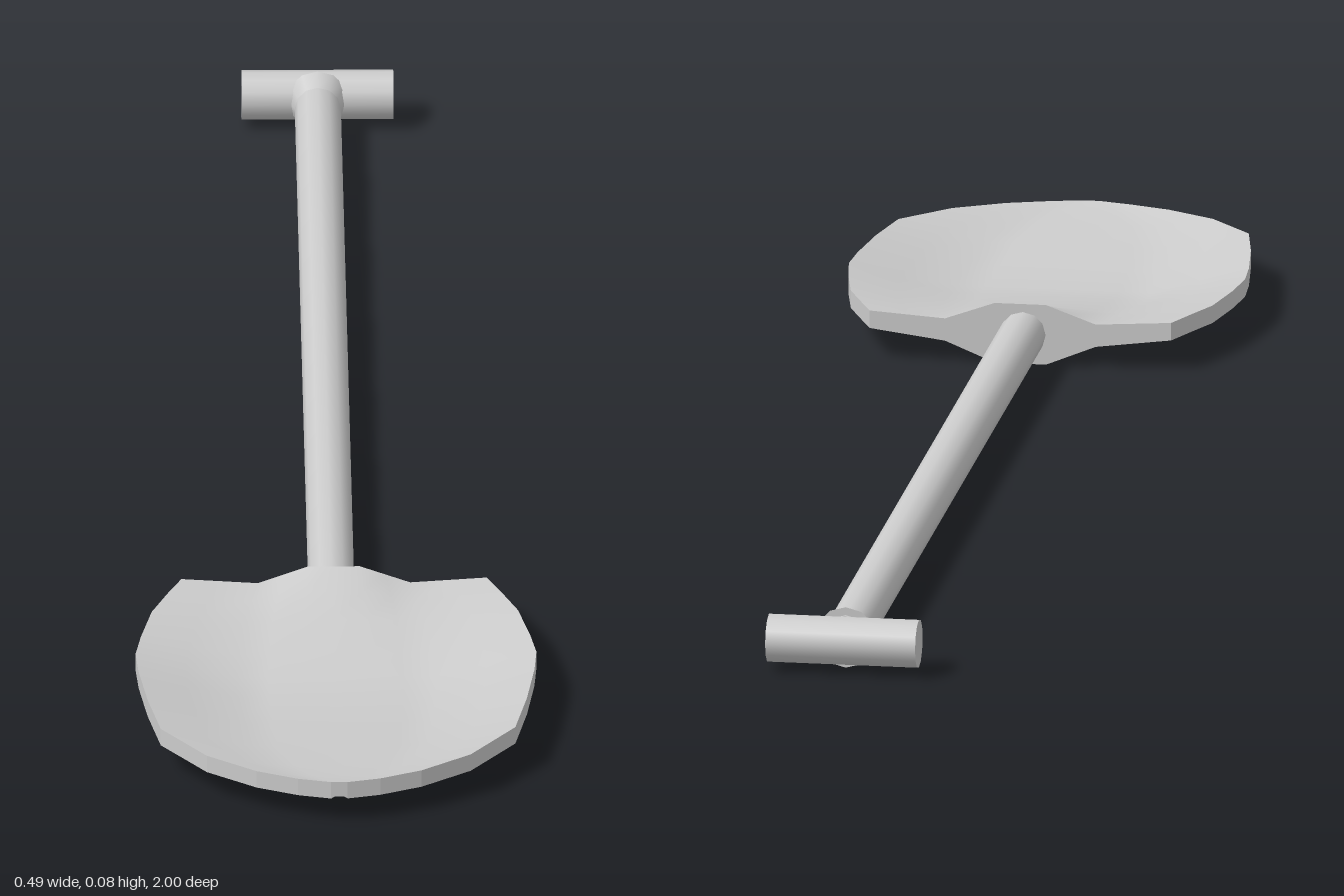
import * as THREE from 'three';

const metal = new THREE.MeshStandardMaterial({ color: 0xcccccc });
const AXIS_X = -0.003, AXIS_Y = 0.04;

// Blade cross-sections: z, half width, rim top, shoulder top, centre top, shoulder thickness, centre thickness
const SECTIONS = [
  [0.44, 0.185, 0.062, 0.056, 0.078, 0.028, 0.075],
  [0.48, 0.202, 0.062, 0.051, 0.064, 0.026, 0.048],
  [0.53, 0.222, 0.061, 0.046, 0.050, 0.024, 0.025],
  [0.60, 0.236, 0.061, 0.036, 0.038, 0.022, 0.022],
  [0.65, 0.243, 0.062, 0.030, 0.031, 0.022, 0.022],
  [0.70, 0.240, 0.062, 0.026, 0.026, 0.022, 0.022],
  [0.78, 0.230, 0.062, 0.030, 0.030, 0.022, 0.022],
  [0.86, 0.215, 0.061, 0.038, 0.037, 0.021, 0.021],
  [0.93, 0.160, 0.058, 0.045, 0.044, 0.020, 0.020],
  [0.97, 0.100, 0.056, 0.050, 0.049, 0.019, 0.019],
  [0.99, 0.050, 0.055, 0.053, 0.053, 0.019, 0.019],
  [1.00, 0.010, 0.055, 0.055, 0.055, 0.019, 0.019],
];
const COLUMNS = [-1, -0.75, -0.5, -0.34, -0.17, 0, 0.17, 0.34, 0.5, 0.75, 1];

// Blend across the half width: centre plateau, shoulder, rim
function across(u, centre, shoulder, rim) {
  const a = Math.abs(u);
  if (a <= 0.17) return centre;
  if (a <= 0.5) return THREE.MathUtils.lerp(centre, shoulder, (a - 0.17) / 0.33);
  return THREE.MathUtils.lerp(shoulder, rim, (a - 0.5) / 0.5);
}

function bladePoint(i, j, under) {
  const [z, w, rim, shoulder, centre, shoulderT, centreT] = SECTIONS[i];
  const u = COLUMNS[j];
  let y = across(u, centre, shoulder, rim);
  if (under) y -= across(u, centreT, shoulderT, 0.022);
  return [u * w, y, z];
}

function toGeometry(points, index) {
  const g = new THREE.BufferGeometry();
  g.setAttribute('position', new THREE.Float32BufferAttribute(points.flat(), 3));
  g.setIndex(index);
  return g;
}

// One smooth face of the blade
function bladeSheet(under) {
  const points = [], index = [], n = COLUMNS.length;
  for (let i = 0; i < SECTIONS.length; i++) {
    for (let j = 0; j < n; j++) {
      points.push(bladePoint(i, j, under));
      if (i === SECTIONS.length - 1 || j === n - 1) continue;
      const a = i * n + j, b = a + n, c = a + 1, d = b + 1;
      if (under) index.push(a, c, b, c, d, b);
      else index.push(a, b, c, c, b, d);
    }
  }
  const g = toGeometry(points, index);
  g.computeVertexNormals();
  return g;
}

// Faceted band joining the two faces all round the outline
function bladeEdge() {
  const rows = SECTIONS.length - 1, cols = COLUMNS.length - 1, loop = [];
  for (let i = 0; i < rows; i++) loop.push([i, 0]);
  for (let j = 0; j < cols; j++) loop.push([rows, j]);
  for (let i = rows; i > 0; i--) loop.push([i, cols]);
  for (let j = cols; j > 0; j--) loop.push([0, j]);
  const points = [], index = [];
  loop.forEach(([i, j], k) => {
    points.push(bladePoint(i, j, true), bladePoint(i, j, false));
    const a = k * 2, b = ((k + 1) % loop.length) * 2;
    index.push(a, b, b + 1, a, b + 1, a + 1);
  });
  const g = toGeometry(points, index).toNonIndexed();
  g.computeVertexNormals();
  return g;
}

function addMesh(parent, name, geometry) {
  const mesh = new THREE.Mesh(geometry, metal);
  mesh.name = name;
  parent.add(mesh);
  return mesh;
}

// Round bar along z; r0 at the back, r1 at the front
function barAlongZ(z0, z1, r0, r1) {
  return new THREE.CylinderGeometry(r1, r0, z1 - z0, 12)
    .rotateX(Math.PI / 2)
    .translate(AXIS_X, AXIS_Y, (z0 + z1) / 2);
}

export function createModel() {
  const model = new THREE.Group();
  model.name = 'shovel';

  // Dished blade with a raised socket at its back edge
  const blade = new THREE.Group();
  blade.name = 'blade';
  addMesh(blade, 'bladeTop', bladeSheet(false));
  addMesh(blade, 'bladeUnderside', bladeSheet(true));
  addMesh(blade, 'bladeEdge', bladeEdge());
  model.add(blade);

  // Shaft, with a small flare where it meets the grip
  addMesh(model, 'shaft', barAlongZ(-0.96, 0.45, 0.028, 0.028));
  addMesh(model, 'shaftFlare', barAlongZ(-0.955, -0.93, 0.038, 0.028));

  // Cross grip
  const grip = addMesh(model, 'grip', new THREE.CylinderGeometry(0.03, 0.03, 0.184, 12).rotateZ(Math.PI / 2));
  grip.position.set(AXIS_X, AXIS_Y, -0.97);

  return model;
}
